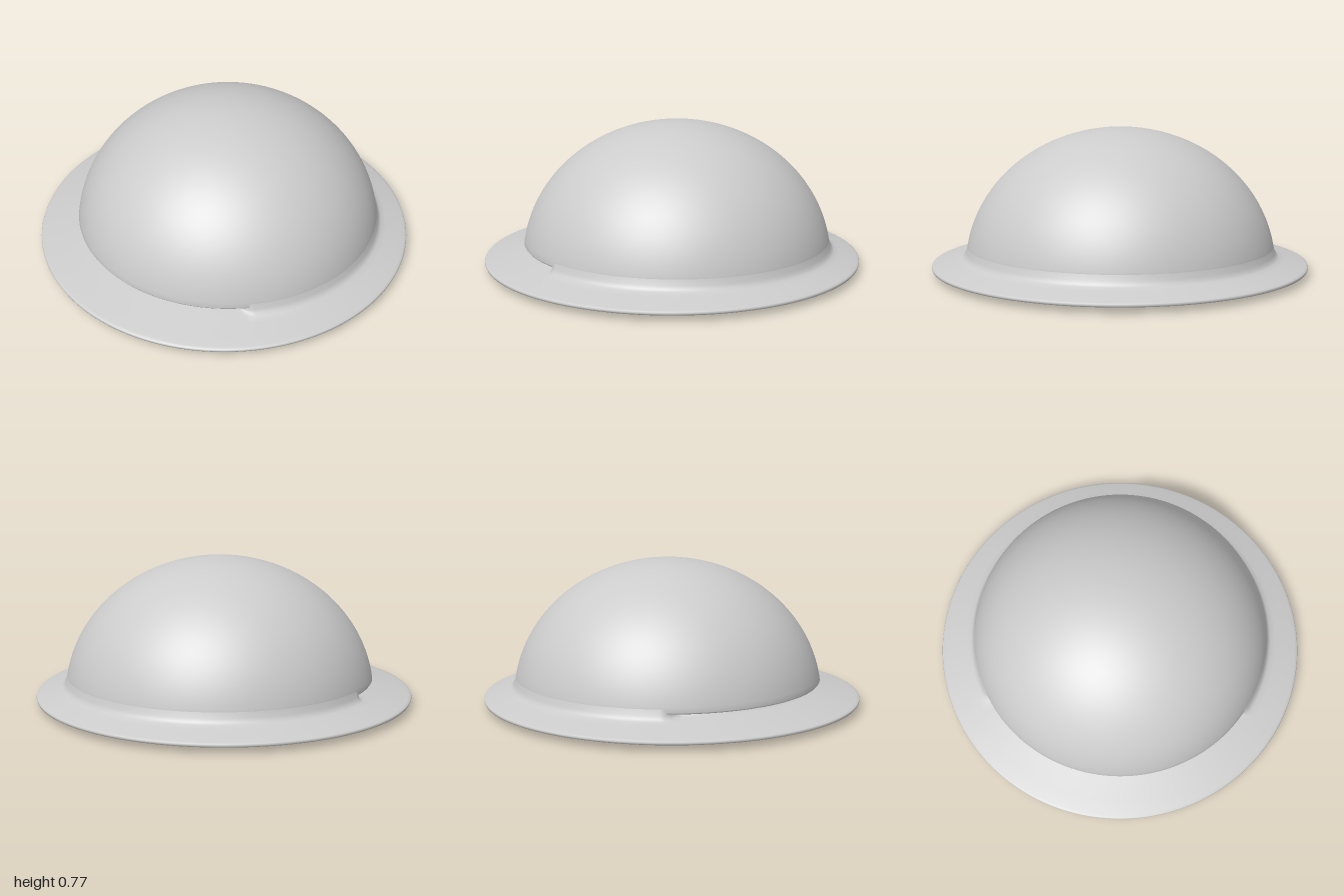
import * as THREE from 'three';

const SHIFT = -0.027; // the crown sits slightly behind the brim's centre
const { clamp, lerp, smoothstep } = THREE.MathUtils;
const v = (x, y) => new THREE.Vector2(x, y);

// Lathe whose vertices are then moved by a rule; normals are averaged across the seam
function lathe(name, points, rule) {
  const geo = new THREE.LatheGeometry(points, 192);
  const pos = geo.attributes.position;
  const p = new THREE.Vector3();
  for (let i = 0; i < pos.count; i++) {
    p.fromBufferAttribute(pos, i);
    rule(p, Math.hypot(p.x, p.z));
    pos.setXYZ(i, p.x, p.y, p.z);
  }
  geo.computeVertexNormals();
  const n = geo.attributes.normal;
  const last = n.count - points.length;
  for (let j = 0; j < points.length; j++) {
    const sum = new THREE.Vector3().fromBufferAttribute(n, j)
      .add(new THREE.Vector3().fromBufferAttribute(n, last + j)).normalize();
    n.setXYZ(j, sum.x, sum.y, sum.z);
    n.setXYZ(last + j, sum.x, sum.y, sum.z);
  }
  const material = new THREE.MeshStandardMaterial({ color: 0xcccccc, side: THREE.DoubleSide });
  const mesh = new THREE.Mesh(geo, material);
  mesh.name = name;
  return mesh;
}

export function createModel() {
  const group = new THREE.Group();
  group.name = 'domedHat';

  // Dome: part of an ellipse with a thin lip that overhangs the brim at the front
  const dome = [v(0.73, 0.119), v(0.8, 0.119), v(0.81, 0.122)];
  for (let i = 0; i <= 40; i++) {
    const a = lerp(0.135, Math.PI / 2, i / 40);
    dome.push(v(Math.max(0, 0.822 * Math.cos(a)), 0.03 + 0.736 * Math.sin(a)));
  }
  group.add(lathe('dome', dome, (p) => { p.z += SHIFT; }));

  // Brim: slopes inward and fillets into the dome, with a narrow groove under the front lip
  const brim = [v(0.78, 0.03), v(0.985, 0.03), v(0.997, 0.032), v(1, 0.04), v(0.997, 0.047),
    v(0.985, 0.051), v(0.93, 0.066), v(0.87, 0.081), v(0.84, 0.091), v(0.828, 0.102),
    v(0.819, 0.118), v(0.812, 0.145), v(0.803, 0.17)];
  group.add(lathe('brim', brim, (p, r) => {
    const front = smoothstep(p.z, 0.41, 0.46);
    const inner = clamp((0.85 - r) / 0.045, 0, 1);
    if (p.y > 0.06 && inner > 0) {
      const scale = 1 - front * inner * 0.09;
      p.x *= scale;
      p.z *= scale;
      if (p.y < 0.13) p.y = lerp(p.y, 0.088 + 0.028 * inner, front);
    }
    p.z += SHIFT * clamp((1 - r) / 0.17, 0, 1);
  }));

  // Underside panel: bulges below the brim at the back, recessed towards the front
  const panel = [];
  for (let i = 0; i <= 30; i++) panel.push(v(0.765 * i / 30, 1));
  panel.push(v(0.785, 0.9), v(0.8, 0.7), v(0.812, 0.4), v(0.816, 0));
  group.add(lathe('undersidePanel', panel, (p) => {
    p.z += SHIFT;
    const t = clamp((p.z + 0.36) / 0.34, 0, 1);
    p.y = 0.03 + p.y * lerp(-0.03, 0.03, t);
  }));

  return group;
}
